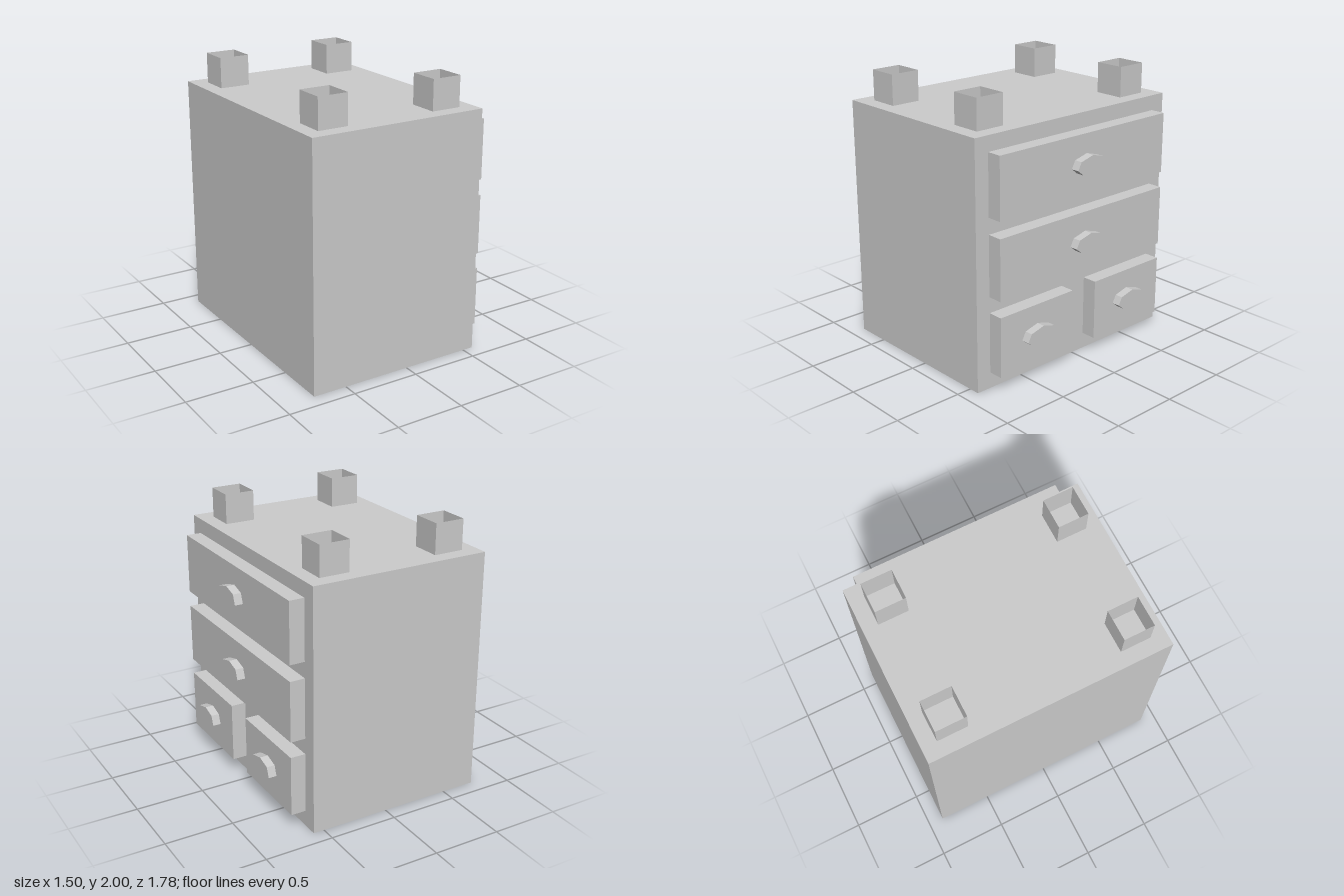
import * as THREE from 'three';

const material = new THREE.MeshStandardMaterial({ color: 0xcccccc, flatShading: true });
const openMaterial = new THREE.MeshStandardMaterial({ color: 0xcccccc, flatShading: true, side: THREE.DoubleSide });

const BODY_TOP = 1.78;
const BODY_SIDE = 0.58; // face that carries the drawers
const DRAWER_DEPTH = 0.11;
const DRAWER_HEIGHT = 0.44;
const KNOB_DEPTH = 0.06;

// Uneven seven-sided knob outline, as (-z, y) offsets from the drawer centre
const knobOutline = [
  [0.0, 0.08], [-0.11, 0.052], [-0.14, -0.005], [-0.09, -0.045],
  [0.0, -0.07], [0.125, -0.02], [0.1, 0.052],
].map(([u, v]) => new THREE.Vector2(u, v));

function addMesh(parent, name, geometry, x, y, z, mat = material) {
  const mesh = new THREE.Mesh(geometry, mat);
  mesh.name = name;
  mesh.position.set(x, y, z);
  parent.add(mesh);
  return mesh;
}

// Raised drawer front with its knob
function makeDrawer(name, y, z, width) {
  const drawer = new THREE.Group();
  drawer.name = name;
  drawer.position.set(BODY_SIDE, y, z);
  addMesh(drawer, 'drawerFront', new THREE.BoxGeometry(DRAWER_DEPTH, DRAWER_HEIGHT, width), DRAWER_DEPTH / 2, 0, 0);
  const knob = new THREE.ExtrudeGeometry(new THREE.Shape(knobOutline), { depth: KNOB_DEPTH, bevelEnabled: false });
  knob.rotateY(Math.PI / 2);
  addMesh(drawer, 'knob', knob, DRAWER_DEPTH, 0, 0);
  return drawer;
}

export function createModel() {
  const model = new THREE.Group();
  model.name = 'chestOfDrawers';

  // Cabinet body
  addMesh(model, 'body', new THREE.BoxGeometry(1.33, BODY_TOP, 1.78), -0.085, BODY_TOP / 2, 0);

  // Two wide drawers above a pair of small ones
  model.add(
    makeDrawer('topDrawer', 1.45, 0, 1.56),
    makeDrawer('middleDrawer', 0.893, 0, 1.56),
    makeDrawer('bottomFrontDrawer', 0.337, 0.445, 0.667),
    makeDrawer('bottomBackDrawer', 0.337, -0.445, 0.667),
  );

  // Hollow square posts, open at the top
  const postHeight = 2 - BODY_TOP;
  const radius = 0.111 * Math.SQRT2;
  const post = new THREE.CylinderGeometry(radius, radius, postHeight, 4, 1, true).rotateY(Math.PI / 4);
  for (const x of [-0.53, 0.36]) {
    for (const z of [-0.668, 0.668]) {
      addMesh(model, 'post', post, x, BODY_TOP + postHeight / 2, z, openMaterial);
    }
  }
  return model;
}
